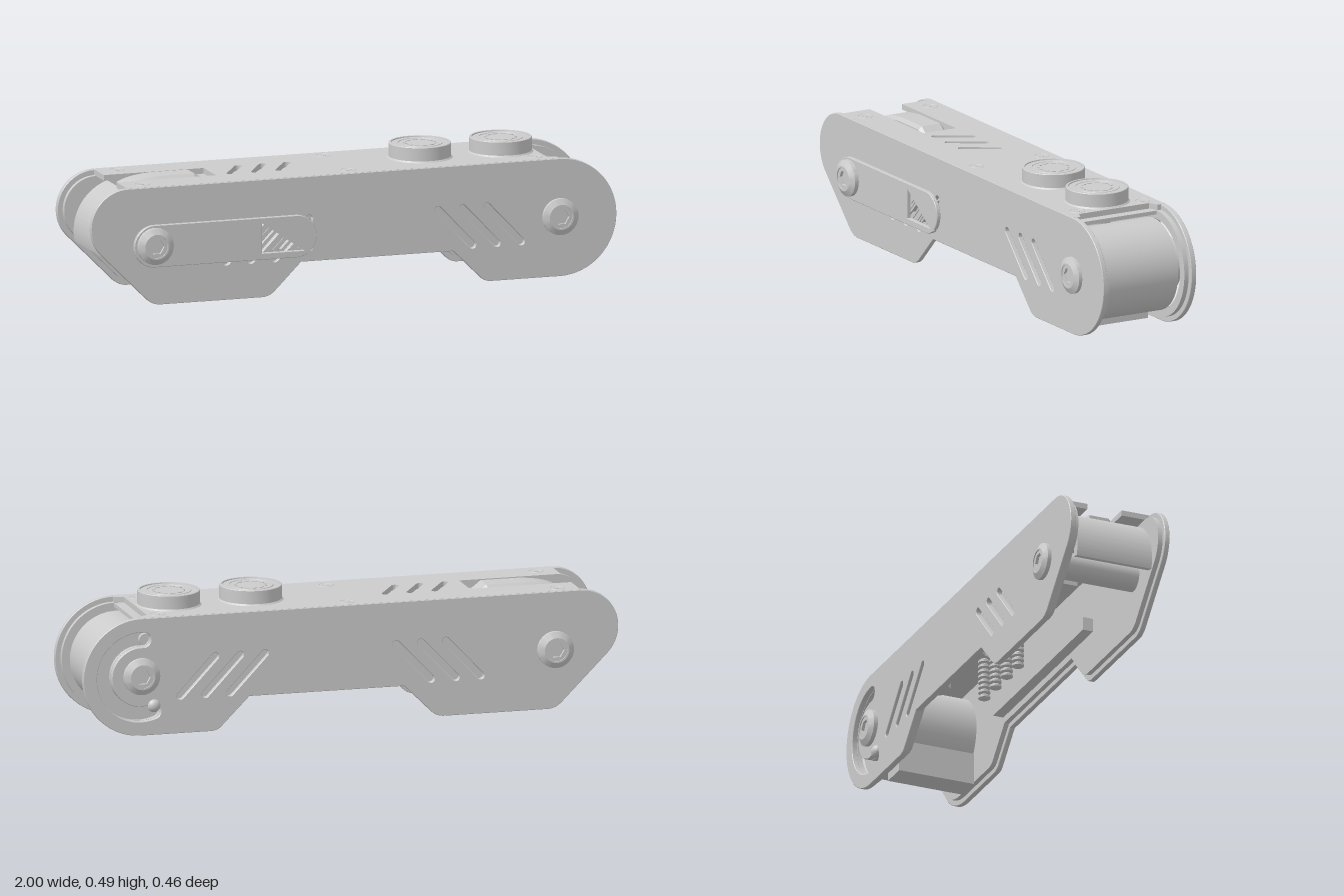
import * as THREE from 'three';
import { toCreasedNormals } from 'three/addons/utils/BufferGeometryUtils.js';

const PI = Math.PI;
const mat = new THREE.MeshStandardMaterial({ color: 0xcccccc });
const open = new THREE.MeshStandardMaterial({ color: 0xcccccc, side: THREE.DoubleSide });
const FRONT = 0.187, BACK = -0.202;                // outer faces of the body in z
const L = [-0.763, 0.22], R = [0.785, 0.216];      // bolt centres

function add(parent, name, geo, x = 0, y = 0, z = 0, m = mat) {
  const mesh = new THREE.Mesh(geo, m);
  mesh.name = name;
  mesh.position.set(x, y, z);
  parent.add(mesh);
  return mesh;
}

function extrude(shape, depth, bevel = 0) {
  const geo = new THREE.ExtrudeGeometry(shape, {
    depth: depth - 2 * bevel, curveSegments: 32, bevelEnabled: bevel > 0,
    bevelThickness: bevel, bevelSize: bevel, bevelOffset: -bevel, bevelSegments: 1,
  }).translate(0, 0, bevel);
  return toCreasedNormals(geo, 0.3);
}

const points = (list) => list.map((p) => new THREE.Vector2(...p));
const lathe = (profile, sides) => toCreasedNormals(new THREE.LatheGeometry(points(profile), sides), 0.4);

// cylinder along z from z0 to z1
const rod = (r, z0, z1) => new THREE.CylinderGeometry(r, r, z1 - z0, 40).rotateX(PI / 2).translate(0, 0, (z0 + z1) / 2);

// round-ended slot between two points
function slot(x1, y1, x2, y2, w, Type = THREE.Path) {
  const a = Math.atan2(y2 - y1, x2 - x1);
  const p = new Type();
  p.absarc(x2, y2, w, a - PI / 2, a + PI / 2);
  p.absarc(x1, y1, w, a + PI / 2, a + PI * 1.5);
  p.closePath();
  return p;
}

// curved slot around a centre
function arcSlot([cx, cy], r, w, a0, a1) {
  const p = new THREE.Path();
  const cap = (a) => [cx + r * Math.cos(a), cy + r * Math.sin(a)];
  p.absarc(cx, cy, r + w, a0, a1);
  p.absarc(...cap(a1), w, a1, a1 + PI);
  p.absarc(cx, cy, r - w, a1, a0, true);
  p.absarc(...cap(a0), w, a0 + PI, a0 + 2 * PI);
  return p;
}

// side outline, shrunk by i
function sideShape(i) {
  const s = new THREE.Shape(), k = 0.414 * i;
  s.absarc(-0.86, 0.292, 0.14 - i, PI / 2, PI * 1.25);
  s.lineTo(-0.79 + k, 0.024 + i);
  s.quadraticCurveTo(-0.766 + k, i, -0.735 + k, i);
  s.lineTo(-0.35 - k, i);
  s.quadraticCurveTo(-0.32 - k, i, -0.3 - k, 0.02 + i);
  s.lineTo(-0.2 - k, 0.12 + i);
  s.lineTo(0.38 + k, 0.12 + i);
  s.lineTo(0.485 + k, 0.015 + i);
  s.quadraticCurveTo(0.5 + k, i, 0.525 + k, i);
  s.absarc(...R, 0.216 - i, -PI / 2, PI / 2);
  s.closePath();
  return s;
}

// outer plate: outline with three diagonal slots at each end
function plateShape() {
  const s = sideShape(0);
  for (let n = 0; n < 3; n++) {
    const d = n * 0.093;
    s.holes.push(slot(0.322 + d, 0.275, 0.452 + d, 0.138, 0.013));
    s.holes.push(slot(-0.485 + d, 0.14, -0.355 + d, 0.277, 0.013));
  }
  return s;
}

// the back side also has the guide slot around the right bolt
function withGuide(s) {
  s.holes.push(arcSlot(R, 0.137, 0.028, -PI * 0.61, PI * 0.52));
  return s;
}

// tapered head with hex socket, pointing along +z
function bolt(parent, name, [x, y], z, h, flip) {
  const g = new THREE.Group();
  g.name = name;
  const profile = [[0.067, 0], [0.067, h * 0.55], [0.046, h], [0.04, h], [0.04, h * 0.4], [0, h * 0.4]];
  add(g, 'boltHead', lathe(profile, 40).rotateX(PI / 2), 0, 0, 0, open);
  const ring = new THREE.Shape().absarc(0, 0, 0.041, 0, PI * 2);
  ring.holes.push(new THREE.Path(points([...Array(6).keys()].map((k) => [0.029 * Math.cos(k * PI / 3), 0.029 * Math.sin(k * PI / 3)]))));
  add(g, 'hexSocket', extrude(ring, h * 0.4), 0, 0, h * 0.45);
  g.position.set(x, y, z);
  if (flip) g.rotation.y = PI;
  parent.add(g);
}

export function createModel() {
  const model = new THREE.Group();

  // side plates with inset liners
  add(model, 'frontPlate', extrude(plateShape(), 0.019, 0.002), 0, 0, 0.168);
  add(model, 'frontLiner', extrude(sideShape(0.02), 0.018), 0, 0, 0.15);
  add(model, 'backPlate', extrude(withGuide(plateShape()), 0.021, 0.002), 0, 0, BACK);
  add(model, 'backLiner', extrude(withGuide(sideShape(0.02)), 0.018), 0, 0, -0.181);

  // top plate, open at the left end for the slider
  const top = new THREE.Shape(points([[-0.86, -0.184], [0.785, -0.184], [0.785, -0.155], [0.75, -0.14], [0.75, 0.153], [0.785, 0.168],
    [0.785, 0.199], [-0.86, 0.199], [-0.86, 0.075], [-0.48, 0.075], [-0.48, -0.06], [-0.86, -0.06]]));
  for (let n = 0; n < 3; n++) top.holes.push(slot(-0.422 + n * 0.093, -0.047, -0.352 + n * 0.093, 0.067, 0.013));
  add(model, 'topPlate', extrude(top, 0.0205).rotateX(-PI / 2), 0, 0.412, 0);
  add(model, 'innerPlate', new THREE.BoxGeometry(1.29, 0.014, 0.32), 0.14, 0.404, -0.0065);

  // flush top screws
  for (const x of [-0.785, 0, 0.71]) for (const z of [-0.148, 0.125]) {
    add(model, 'topScrewRim', new THREE.TorusGeometry(0.026, 0.003, 8, 28).rotateX(PI / 2), x, 0.431, z);
    add(model, 'topScrew', new THREE.CylinderGeometry(0.012, 0.012, 0.03, 6), x, 0.4185, z);
  }

  // thumb slider in the top slot
  const thumb = new THREE.Shape();
  thumb.moveTo(-0.82, 0.36);
  thumb.lineTo(-0.515, 0.36);
  thumb.lineTo(-0.515, 0.41);
  thumb.lineTo(-0.55, 0.437);
  thumb.lineTo(-0.69, 0.437);
  thumb.quadraticCurveTo(-0.78, 0.432, -0.82, 0.41);
  add(model, 'thumbSlider', extrude(thumb, 0.1, 0.012), 0, 0, -0.062);
  add(model, 'sliderBed', new THREE.BoxGeometry(0.1, 0.02, 0.115), -0.52, 0.395, -0.006);

  // two round push buttons with a thin rim and a ring of ticks
  const cap = [[0.119, 0], [0.113, 0.006], [0.113, 0.054], [0.111, 0.056], [0.104, 0.056], [0.103, 0.052], [0.082, 0.052],
    [0.081, 0.054], [0.078, 0.054], [0.077, 0.052], [0, 0.052]];
  for (const x of [0.32, 0.627]) {
    const g = new THREE.Group();
    g.name = 'pushButton';
    g.position.set(x, 0.432, -0.008);
    add(g, 'buttonCap', lathe(cap, 64), 0, 0, 0, open);
    for (let k = 0; k < 12; k++) {
      const a = k * PI / 6;
      add(g, 'buttonTick', new THREE.BoxGeometry(0.008, 0.004, 0.018), 0.055 * Math.cos(a), 0.052, -0.055 * Math.sin(a)).rotation.y = a;
    }
    add(g, 'buttonBody', new THREE.CylinderGeometry(0.048, 0.048, 0.06, 40), 0, -0.06, 0);
    model.add(g);
  }

  // right end roller with a short block hanging under it
  add(model, 'roller', rod(0.169, -0.153, 0.14), ...R);
  add(model, 'rollerFoot', new THREE.BoxGeometry(0.1, 0.12, 0.293), 0.69, 0.062, -0.0065);

  // left end curved cover
  const cover = new THREE.Shape();
  cover.absarc(...L, 0.185, PI * 0.6, PI * 1.07);
  cover.absarc(...L, 0.155, PI * 1.07, PI * 0.6, true);
  cover.closePath();
  add(model, 'endCover', extrude(cover, 0.293), 0, 0, -0.153);

  // axles, stop pin and guide knob
  add(model, 'rightAxle', rod(0.058, -0.185, 0.17), ...R);
  add(model, 'leftAxle', rod(0.05, -0.185, 0.17), ...L);
  add(model, 'stopPin', rod(0.023, -0.17, 0.155), 0.76, 0.345);
  add(model, 'guidePin', rod(0.016, -0.2, -0.14), 0.737, 0.108);
  add(model, 'guideKnob', new THREE.SphereGeometry(0.024, 24, 16).scale(1, 1, 0.8), 0.737, 0.108, -0.199);

  // ribbed posts and long rails inside the body
  const post = [[0, 0]];
  for (let k = 0; k < 11; k++) post.push([0.012, k * 0.02], [0.022, k * 0.02 + 0.005], [0.022, k * 0.02 + 0.013]);
  post.push([0.012, 0.22], [0, 0.22]);
  for (let n = 0; n < 4; n++) add(model, 'ribbedPost', lathe(post, 16), 0.02 + n * 0.1, 0.18, 0.04);
  add(model, 'innerRail', new THREE.BoxGeometry(0.55, 0.12, 0.1), -0.23, 0.34, -0.0065);
  add(model, 'sideRail', new THREE.BoxGeometry(0.8, 0.05, 0.04), 0, 0.19, 0.13);

  // front panel with a striped window
  const [x0, y0, x1, y1] = [-0.355, 0.165, -0.165, 0.275];
  const panel = slot(L[0], 0.218, -0.223, 0.218, 0.077, THREE.Shape);
  panel.holes.push(new THREE.Path(points([[x0, y0], [x1, y0], [x1, y1], [x0, y1]])));
  add(model, 'frontPanel', extrude(panel, 0.016, 0.002), 0, 0, FRONT);
  for (let c = -0.085; c < 0.18; c += 0.032) {
    const x = x0 + 0.006 + Math.max(c, 0), y = y0 + 0.006 + Math.max(-c, 0);
    const run = Math.min(x1 - 0.006 - x, y1 - 0.006 - y);
    add(model, 'windowStripe', extrude(slot(x, y, x + run, y + run, 0.004, THREE.Shape), 0.025), 0, 0, 0.166);
  }

  // pivot bolts
  bolt(model, 'frontLeftBolt', L, 0.203, 0.028, false);
  bolt(model, 'frontRightBolt', [R[0], 0.22], FRONT, 0.024, false);
  bolt(model, 'backLeftBolt', L, BACK, 0.027, true);
  bolt(model, 'backRightBolt', [R[0], 0.22], BACK, 0.027, true);
  return model;
}
